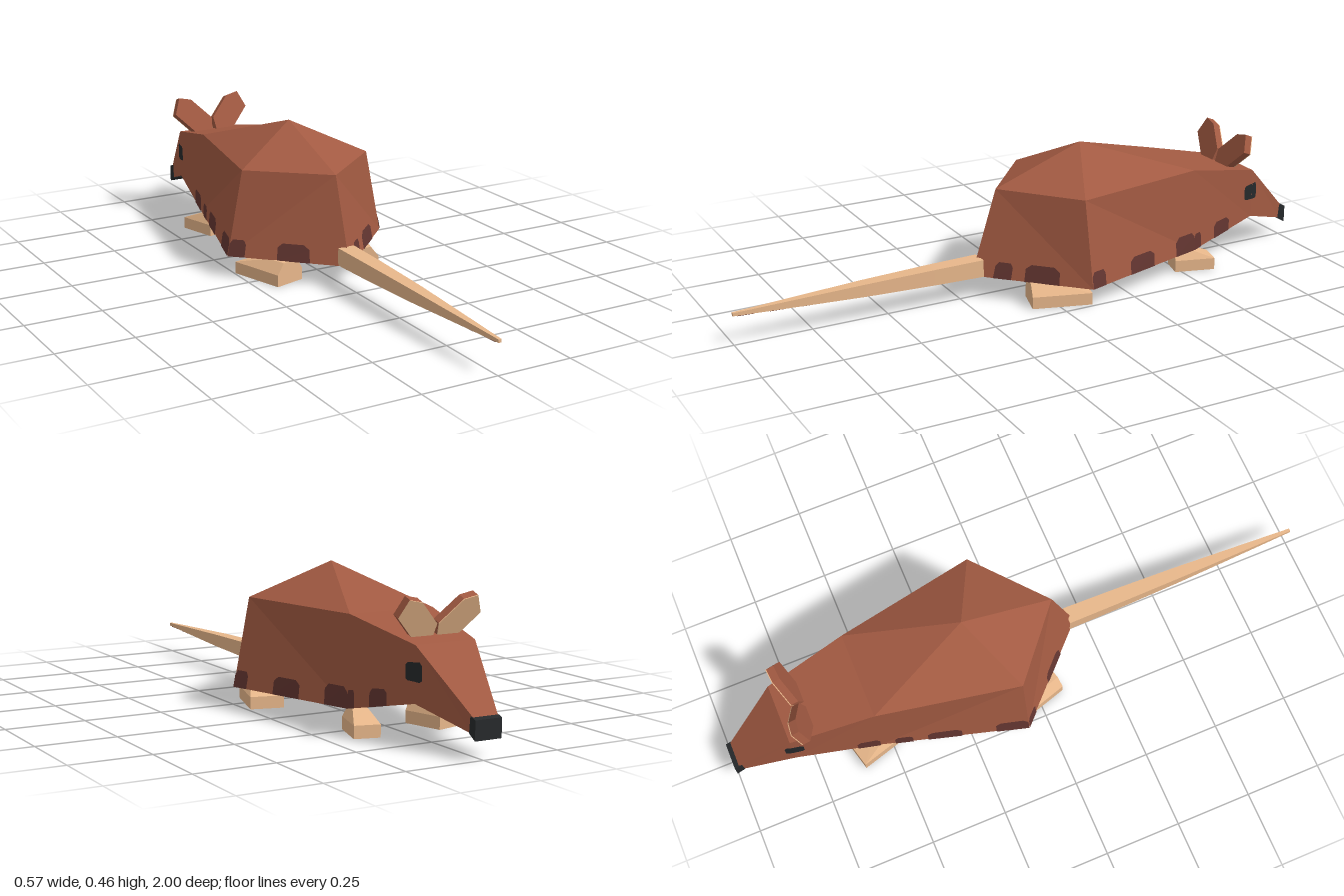
import * as THREE from 'three';
import { ConvexGeometry } from 'three/addons/geometries/ConvexGeometry.js';

const material = (name, color) => {
  const m = new THREE.MeshStandardMaterial({ color, flatShading: true, side: THREE.DoubleSide });
  m.name = name;
  return m;
};
const V = (x, y, z) => new THREE.Vector3(x, y, z);

// Flat faces from polygons, each cut into a fan of triangles
function polygons(list) {
  const points = [];
  for (const p of list) {
    for (let i = 1; i < p.length - 1; i++) points.push(p[0], p[i], p[i + 1]);
  }
  const g = new THREE.BufferGeometry().setFromPoints(points);
  g.computeVertexNormals();
  return g;
}

export function createModel() {
  const fur = material('russetFur', 0xa25a42);
  const spot = material('darkSpots', 0x643631);
  const skin = material('tanSkin', 0xeab98c);
  const black = material('noseBlack', 0x26292b);
  const model = new THREE.Group();
  const add = (name, geometry, mat) => {
    const mesh = new THREE.Mesh(geometry, mat);
    mesh.name = name;
    model.add(mesh);
    return mesh;
  };

  // Body cross-sections: lower and upper corner, from rump to snout, for one side
  const section = (s) => ({
    low: [V(0, 0.072, 0.208), V(s * 0.285, 0.072, -0.075), V(s * 0.153, 0.074, -0.54),
      V(s * 0.1 - 0.005, 0.13, -0.805), V(s * 0.041 - 0.015, 0.072, -0.98)],
    high: [V(0, 0.35, 0.12), V(s * 0.23, 0.35, -0.075), V(s * 0.143, 0.35, -0.535),
      V(s * 0.1 - 0.005, 0.295, -0.805), V(s * 0.041 - 0.015, 0.118, -0.985)],
  });
  const L = section(1), R = section(-1), apex = V(0, 0.462, -0.185);
  const coat = [[L.high[2], R.high[2], apex]];
  const belly = [[L.low[0], R.low[1], L.low[1]]];
  for (const [S, flip] of [[L, false], [R, true]]) {
    const half = [];
    for (let i = 0; i < 4; i++) {
      const a = S.low[i], b = S.low[i + 1], c = S.high[i + 1], d = S.high[i];
      half.push([a, b, d], [b, c, d]);
      if (i < 2) half.push([d, c, apex]);
    }
    coat.push(...half.map((f) => (flip ? f.reverse() : f)));
  }
  for (let i = 1; i < 4; i++) {
    belly.push([L.low[i], R.low[i], R.low[i + 1], L.low[i + 1]]);
    if (i > 1) coat.push([L.high[i], L.high[i + 1], R.high[i + 1], R.high[i]]);
  }
  add('body', polygons(coat), fur);
  add('belly', polygons(belly), spot);

  // Painted plate on side panel i, with its outline given across (u) and up (v) the panel
  const plate = (S, s, i, outline) => {
    const a = S.low[i], b = S.low[i + 1], c = S.high[i + 1], d = S.high[i];
    const n = b.clone().sub(a).cross(d.clone().sub(a)).normalize().multiplyScalar(s * 0.0025);
    const pts = outline.map(([u, v]) => a.clone().lerp(b, u).lerp(d.clone().lerp(c, u), v).add(n));
    return s > 0 ? pts : pts.reverse();
  };
  const blot = (u0, u1, v) => {
    const w = (u1 - u0) * 0.16;
    return [[u0, 0], [u1, 0], [u1, v * 0.75], [u1 - w, v], [u0 + w, v], [u0, v * 0.75]];
  };

  // Dark spots along the lower edge: panel, start, end, height
  const leftSpots = [[0, 0.18, 0.33, 0.19], [0, 0.44, 0.73, 0.2], [1, 0, 0.12, 0.19],
    [1, 0.36, 0.59, 0.2], [1, 0.81, 1, 0.23], [2, 0, 0.11, 0.2], [2, 0.34, 0.6, 0.23]];
  const rightSpots = [[0, 0.32, 0.59, 0.2], [0, 0.86, 1, 0.2], [1, 0, 0.22, 0.2],
    [1, 0.45, 0.68, 0.19], [1, 0.78, 0.9, 0.17], [2, 0, 0.27, 0.2]];
  add('leftSpots', polygons(leftSpots.map(([i, a, b, v]) => plate(L, 1, i, blot(a, b, v)))), spot);
  add('rightSpots', polygons(rightSpots.map(([i, a, b, v]) => plate(R, -1, i, blot(a, b, v)))), spot);

  // Eyes wrap round the edge between cheek and snout
  const cheekHalf = [[0.87, 0.42], [0.9, 0.39], [1, 0.38], [1, 0.71], [0.9, 0.68], [0.87, 0.64]];
  const snoutHalf = [[0, 0.38], [0.09, 0.43], [0.13, 0.5], [0.13, 0.77], [0.09, 0.8], [0, 0.71]];
  for (const [S, s, name] of [[L, 1, 'leftEye'], [R, -1, 'rightEye']]) {
    add(name, polygons([plate(S, s, 2, cheekHalf), plate(S, s, 3, snoutHalf)]), black);
  }

  // Nose cap, tipped downward
  const nose = [];
  for (const x of [-0.059, 0.029]) {
    nose.push(V(x, 0.122, -0.974), V(x, 0.113, -1), V(x, 0.055, -1), V(x, 0.072, -0.972));
  }
  add('nose', new ConvexGeometry(nose), black);

  // Four-sided tail, tapering faster towards the tip, with dashes underneath
  const tailProfile = [[0.0285, 0.18], [0.026, 0.35], [0.0205, 0.58], [0.0125, 0.8], [0.005, 1]];
  const rings = tailProfile.map(([r, z]) => new THREE.Vector2(r * Math.SQRT2, z));
  const tail = new THREE.LatheGeometry([...rings, new THREE.Vector2(0, 1)], 4);
  tail.rotateY(Math.PI / 4).rotateX(Math.PI / 2).translate(0.003, 0.102, 0);
  add('tail', tail, skin);
  for (let i = 0; i < 4; i++) {
    const [r0, z0] = tailProfile[i], [r1, z1] = tailProfile[i + 1];
    for (const t of [0.3, 0.8]) {
      const r = r0 + (r1 - r0) * t;
      const dash = add('tailDash', new THREE.BoxGeometry(r * 1.4, 0.004, 0.05), spot);
      dash.position.set(0.003, 0.102 - r, z0 + (z1 - z0) * t);
      dash.rotation.x = Math.atan2(r1 - r0, z1 - z0);
    }
  }

  // Feet: heel outer, heel inner, toe inner, toe outer, with a sloping instep
  const footPlans = {
    HindFoot: { shift: -0.003, plan: [[0.187, 0.085], [0.083, 0.055], [0.138, -0.125], [0.243, -0.1]] },
    ForeFoot: { shift: -0.007, plan: [[0.142, -0.48], [0.067, -0.5], [0.102, -0.63], [0.18, -0.61]] },
  };
  for (const [name, { shift, plan }] of Object.entries(footPlans)) {
    for (const s of [1, -1]) {
      const [ho, hi, ti, to] = plan.map(([x, z]) => V(s * x + shift, 0, z));
      const ankle = [ho.clone().lerp(hi, 0.25), hi.clone().lerp(ho, 0.2),
        hi.clone().lerp(ti, 0.45).lerp(ho, 0.2), ho.clone().lerp(to, 0.45).lerp(hi, 0.25)];
      const pts = [ho, hi, ti, to].flatMap((p) => [p, p.clone().setY(0.039)]);
      pts.push(...ankle.map((p) => p.setY(0.073)));
      add((s > 0 ? 'left' : 'right') + name, new ConvexGeometry(pts), skin);
    }
  }

  // Ears: angular slabs leaning forward, lined with skin on the face side
  const earOutline = [[0.01, -0.01], [0.06, -0.01], [0.138, 0.075], [0.114, 0.132], [0.07, 0.122], [0.003, 0.05]];
  for (const s of [1, -1]) {
    const pts = earOutline.map(([x, y]) => new THREE.Vector2(s * x, y));
    const slab = (depth, z) => new THREE.ExtrudeGeometry(new THREE.Shape(pts),
      { depth, bevelEnabled: false }).translate(0, 0, z);
    const side = s > 0 ? 'left' : 'right';
    for (const mesh of [add(side + 'Ear', slab(0.026, -0.012), fur),
      add(side + 'EarLining', slab(0.003, -0.015), skin)]) {
      mesh.position.set(-0.01, 0.3, -0.728);
      mesh.rotation.x = -0.38;
    }
  }
  return model;
}
